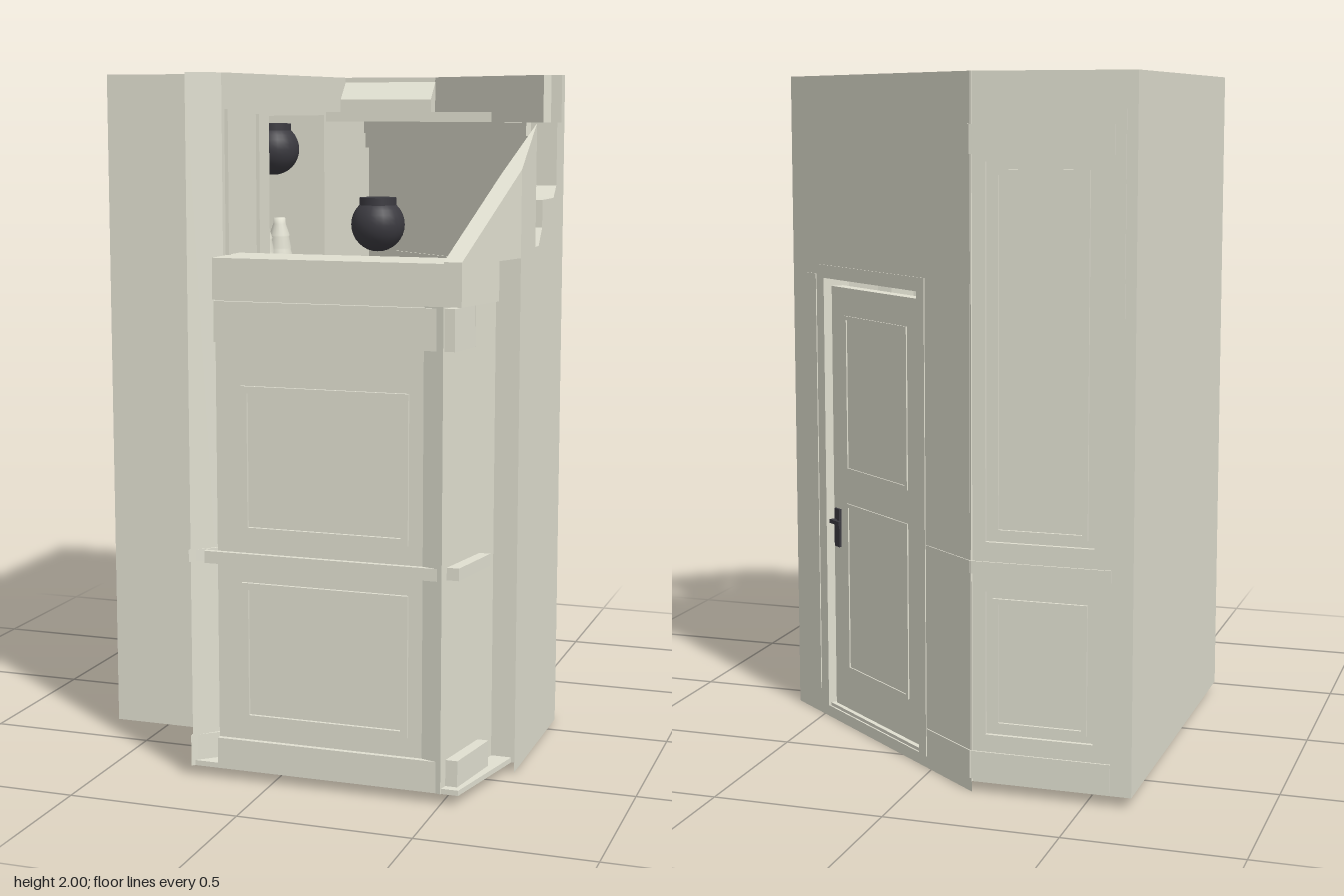
import * as THREE from 'three';

const cream = new THREE.MeshStandardMaterial({ color: 0xe0dfd0 });
cream.name = 'creamPaint';
const dark = new THREE.MeshStandardMaterial({ color: 0x3b3a40 });
dark.name = 'darkMetal';

export function createModel() {
  const root = new THREE.Group();
  const add = (name, geo, mat = cream, parent = root) => {
    const m = new THREE.Mesh(geo, mat);
    m.name = name;
    parent.add(m);
    return m;
  };
  const poly = (pts) => new THREE.Shape(pts.map((p) => new THREE.Vector2(p[0], p[1])));
  const rect = (x0, y0, x1, y1) => poly([[x0, y0], [x1, y0], [x1, y1], [x0, y1]]);
  const extrude = (shape, depth) =>
    new THREE.ExtrudeGeometry(shape, { depth, bevelEnabled: false, curveSegments: 10 });
  // box from min and max corners
  const box = (name, a, b, mat, parent) => add(name,
    new THREE.BoxGeometry(b[0] - a[0], b[1] - a[1], b[2] - a[2])
      .translate((a[0] + b[0]) / 2, (a[1] + b[1]) / 2, (a[2] + b[2]) / 2), mat, parent);
  // upright prism over a floor plan given as (x, z)
  const prismGeo = (plan, y0, y1) =>
    extrude(poly(plan.map(([x, z]) => [x, -z])), y1 - y0).rotateX(-Math.PI / 2).translate(0, y0, 0);
  const prism = (name, plan, y0, y1) => add(name, prismGeo(plan, y0, y1));
  // picture-frame moulding in the xy plane
  const frameGeo = (x0, y0, x1, y1, t, depth) => {
    const s = rect(x0, y0, x1, y1);
    s.holes.push(rect(x0 + t, y0 + t, x1 - t, y1 - t));
    return extrude(s, depth);
  };

  // floor and the low one-sided skirt along the outer side
  prism('floor', [[-0.63, -0.735], [-0.17, -0.735], [0.62, -0.1], [0.62, 0.42], [0.55, 0.735],
    [-0.24, 0.735], [-0.24, 0.42], [-0.63, 0.42]], 0.03, 0.045);
  add('sideSkirt', new THREE.PlaneGeometry(0.52, 0.03).rotateY(Math.PI / 2).translate(0.629, 0.015, 0.16));

  // left block with an open niche facing the cabin
  box('leftBlockOuter', [-0.63, 0.03, -0.725], [-0.46, 2, 0.42]);
  const niche = rect(-0.42, 0.03, 0.725, 2);
  niche.holes.push(rect(-0.3, 0.75, 0.18, 1.88));
  add('leftBlockInner', extrude(niche, 0.295).rotateY(Math.PI / 2).translate(-0.46, 0, 0));
  box('nicheShelf', [-0.34, 1.395, -0.14], [-0.22, 1.41, 0.13]);
  prism('leftPost', [[-0.24, 0.42], [-0.165, 0.42], [-0.165, 0.66], [-0.24, 0.74]], 0.03, 2);
  for (const [y0, y1] of [[0.03, 0.12], [0.63, 0.665]])
    prism('postTrim', [[-0.245, 0.7], [-0.16, 0.62], [-0.16, 0.67], [-0.245, 0.742]], y0, y1);
  for (const [y0, y1] of [[0.18, 0.6], [0.75, 1.9]])
    add('postPanelMoulding', frameGeo(-0.64, y0, -0.39, y1, 0.015, 0.01)
      .rotateY(Math.PI / 2).translate(-0.165, 0, 0));
  box('wallRail', [-0.165, 0.7, 0.34], [-0.15, 0.74, 0.64]);

  // bottles and wall lamp in the niche
  const bottle = [[0, 0], [0.045, 0], [0.045, 0.02], [0.035, 0.05], [0.037, 0.055], [0.03, 0.09],
    [0.032, 0.095], [0.02, 0.13], [0.018, 0.15], [0, 0.15]].map((p) => new THREE.Vector2(...p));
  for (const z of [0.07, -0.08])
    add('bottle', new THREE.LatheGeometry(bottle, 16).translate(-0.28, 1.41, z));
  const lamp = (name, x, y, z) => {
    const g = new THREE.Group();
    g.name = name;
    add('lampGlobe', new THREE.SphereGeometry(0.08, 24, 16), dark, g);
    add('lampNeck', new THREE.CylinderGeometry(0.055, 0.055, 0.04, 24).translate(0, 0.06, 0), dark, g);
    g.position.set(x, y, z);
    root.add(g);
  };
  lamp('hangingLamp', 0.13, 1.56, 0.17);
  lamp('nicheLamp', -0.29, 1.775, -0.06);

  // ceiling over the back corner, with a ledge and a sloping cove
  prism('ceiling', [[-0.165, -0.725], [0.14, -0.46], [0.14, -0.39], [-0.165, -0.39]], 1.86, 2);
  prism('ceilingLedge', [[-0.165, -0.62], [0.38, -0.2], [-0.165, -0.2]], 1.86, 1.89);
  add('cove', extrude(poly([[0.39, 1.89], [0.39, 1.985], [0.34, 1.93], [0.34, 1.89]]), 0.305)
    .rotateY(Math.PI / 2).translate(-0.165, 0, 0));

  // panelled back wall of the left block
  const back = rect(-0.63, 0.03, -0.165, 2);
  const panels = [[0.17, 0.58], [0.72, 1.76]];
  for (const [y0, y1] of panels) back.holes.push(rect(-0.52, y0, -0.21, y1));
  add('backFrame', extrude(back, 0.012).translate(0, 0, -0.737));
  for (const [y0, y1] of panels)
    add('backPanelMoulding', frameGeo(-0.5, y0 + 0.02, -0.23, y1 - 0.02, 0.015, 0.008).translate(0, 0, -0.733));
  const trims = [[0.04, 0.12], [0.63, 0.665], [1.78, 1.86]];
  for (const [y0, y1] of trims)
    box('backTrim', [-0.57, y0, -0.742], [-0.165, y1, -0.73]);
  box('backStrip', [-0.6, 1.35, -0.742], [-0.575, 1.9, -0.73]);

  // diagonal wall: local x runs along it, local z points into the cabin
  const diag = new THREE.Group();
  diag.name = 'diagonalWall';
  diag.position.set(-0.17, 0, -0.74);
  diag.rotation.y = -Math.atan2(0.64, 0.8);
  root.add(diag);
  const wall = rect(0, 0.03, 1.0245, 2);
  wall.holes.push(rect(0.28, 0.035, 0.825, 1.39));
  add('doorWall', extrude(wall, 0.08), cream, diag);
  add('diagonalSkirt', new THREE.PlaneGeometry(1.0245, 0.03).rotateY(Math.PI).translate(0.512, 0.015, 0.001), cream, diag);
  box('door', [0.29, 0.036, 0.02], [0.816, 1.365, 0.06], cream, diag);
  for (const [y0, y1] of [[0.17, 0.7], [0.8, 1.28]])
    for (const z of [0.016, 0.06])
      add('doorMoulding', frameGeo(0.37, y0, 0.735, y1, 0.012, 0.004).translate(0, 0, z), cream, diag);
  for (const [x0, x1, y0, y1] of [[0.24, 0.28, 0.035, 1.43], [0.825, 0.865, 0.035, 1.43], [0.28, 0.825, 1.39, 1.43]])
    box('doorCasing', [x0, y0, -0.003], [x1, y1, 0.086], cream, diag);
  box('sidePanel', [0.875, 0.08, -0.003], [0.944, 1.4, 0], cream, diag);
  for (const [y0, y1] of trims)
    box('diagonalTrim', [0, y0, -0.003], [0.235, y1, 0], cream, diag);
  box('handlePlate', [0.772, 0.555, 0.012], [0.802, 0.675, 0.02], dark, diag);
  box('handleLever', [0.745, 0.63, -0.006], [0.8, 0.642, 0.004], dark, diag);
  box('handleStem', [0.787, 0.63, -0.006], [0.799, 0.642, 0.014], dark, diag);
  box('diagonalCrown', [0.03, 1.77, 0.08], [1.0, 1.82, 0.11], cream, diag);
  box('diagonalCrownTop', [0.03, 1.82, 0.08], [1.0, 1.86, 0.125], cream, diag);

  // right wall with a stepped upper edge
  const side = poly([[0.1, 0.03], [-0.42, 0.03], [-0.42, 1.51], [-0.21, 1.51], [-0.17, 1.56], [-0.17, 1.64],
    [-0.03, 1.64], [0.005, 1.675], [0.005, 1.86], [0.09, 1.86], [0.1, 2]].reverse());
  add('rightWall', extrude(side, 0.08).rotateY(Math.PI / 2).translate(0.55, 0, 0));
  prism('rightWallCap', [[0.57, -0.145], [0.63, -0.1], [0.63, -0.06], [0.57, -0.06]], 1.86, 2);

  // slanted corner wall with its sloping parapet
  prism('cornerWall', [[0.44, 0.72], [0.5, 0.42], [0.56, 0.42], [0.5, 0.74]], 0.03, 1.49);
  for (const [y0, y1] of trims.slice(0, 2))
    prism('cornerTrim', [[0.5, 0.71], [0.53, 0.51], [0.575, 0.51], [0.54, 0.71]], y0, y1);
  const parapet = prismGeo([[0.63, 0.25], [0.63, 0.42], [0.55, 0.74], [0.5, 0.74], [0.575, 0.44]], 1.49, 1.9);
  const p = parapet.attributes.position;
  for (let i = 0; i < p.count; i++)
    if (p.getY(i) > 1.6) p.setY(i, 1.86 - (p.getZ(i) - 0.25) * 0.735);
  parapet.computeVertexNormals();
  add('slopingParapet', parapet);

  // front wall with two framed panels
  box('frontWall', [-0.165, 0.03, 0.56], [0.5, 1.38, 0.72]);
  box('frontBase', [-0.165, 0.03, 0.72], [0.5, 0.12, 0.735]);
  box('frontRail', [-0.2, 0.63, 0.72], [0.5, 0.665, 0.735]);
  prism('frontBand', [[-0.165, 0.56], [0.54, 0.56], [0.55, 0.6], [0.53, 0.733], [-0.165, 0.733]], 1.26, 1.375);
  prism('frontLedge', [[-0.165, 0.54], [0.6, 0.54], [0.55, 0.74], [-0.165, 0.74]], 1.38, 1.495);
  for (const [y0, y1] of [[0.175, 0.58], [0.72, 1.14]])
    add('frontPanelMoulding', frameGeo(-0.09, y0, 0.4, y1, 0.02, 0.01).translate(0, 0, 0.72));

  // toilet against the front wall
  const stadium = (x0, x1, z0, z1, r, rf) => {
    const s = new THREE.Shape();
    s.moveTo(x0, -z1 + rf).quadraticCurveTo(x0, -z1, x0 + rf, -z1);
    s.lineTo(x1 - rf, -z1).quadraticCurveTo(x1, -z1, x1, -z1 + rf);
    s.lineTo(x1, -z0 - r).quadraticCurveTo(x1, -z0, x1 - r, -z0);
    s.lineTo(x0 + r, -z0).quadraticCurveTo(x0, -z0, x0, -z0 - r);
    return s;
  };
  const up = (s, y0, y1) => extrude(s, y1 - y0).rotateX(-Math.PI / 2).translate(0, y0, 0);
  add('toiletBody', up(stadium(0.01, 0.31, 0.145, 0.54, 0.1, 0.01), 0.04, 0.3));
  add('toiletLid', up(stadium(0.04, 0.28, 0.16, 0.46, 0.11, 0.1), 0.3, 0.32));
  box('toiletBackPanel', [0.005, 0.3, 0.505], [0.315, 0.6, 0.54]);
  box('flushLever', [0.03, 0.54, 0.485], [0.07, 0.55, 0.505]);

  return root;
}
